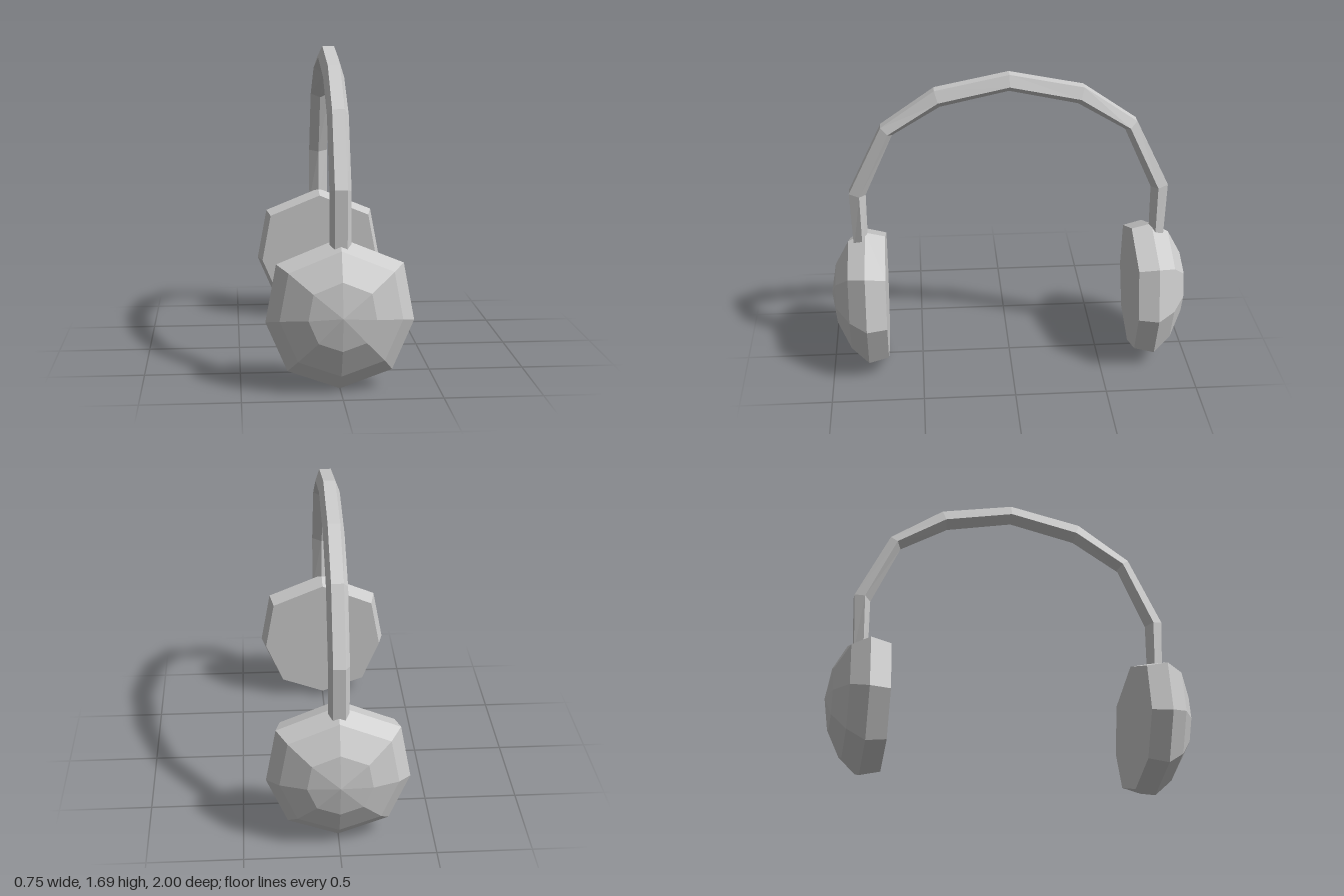
import * as THREE from 'three';

const material = new THREE.MeshStandardMaterial({ color: 0xcccccc, flatShading: true });

// Skin a list of closed rings (counter-clockwise around the travel direction) and cap both ends.
function loft(rings, startCentre, endCentre) {
  const n = rings[0].length;
  const positions = [...rings.flat(2), ...startCentre, ...endCentre];
  const start = rings.length * n, end = start + 1, last = start - n;
  const index = [];
  for (let j = 0; j < n; j++) {
    const k = (j + 1) % n;
    for (let i = 0; i < rings.length - 1; i++) {
      const a = i * n + j, b = i * n + k;
      index.push(a, b, b + n, a, b + n, a + n);
    }
    index.push(start, k, j, end, last + j, last + k);
  }
  const geometry = new THREE.BufferGeometry();
  geometry.setAttribute('position', new THREE.Float32BufferAttribute(positions, 3));
  geometry.setIndex(index);
  geometry.computeVertexNormals();
  return geometry;
}

// Eight-sided domed cup with a flat inner face
function cupGeometry() {
  const half = [[0, 0.39], [-0.32, 0.26], [-0.375, -0.035], [-0.265, -0.29], [0, -0.385]];
  const outline = [...half, ...half.slice(1, 4).reverse().map(([x, y]) => [-x, y])];
  // z, scale, centre height
  const steps = [[0.69, 0.93, 0.39], [0.8, 1, 0.39], [0.895, 0.82, 0.41], [0.97, 0.45, 0.415]];
  const rings = steps.map(([z, s, cy]) => outline.map(([x, y]) => [x * s, cy + y * s, z]));
  return loft(rings, [0, 0.39, 0.69], [0, 0.415, 1]);
}

// Arched band with a pentagonal section, point facing inward
function bandGeometry() {
  // outer z, y and inner z, y at each bend
  const half = [
    [0.862, 0.7, 0.785, 0.7],
    [0.875, 1.03, 0.785, 1.01],
    [0.69, 1.41, 0.63, 1.355],
    [0.4, 1.61, 0.37, 1.51],
  ];
  const stations = [
    ...half,
    [0, 1.69, 0, 1.59],
    ...half.slice().reverse().map(([oz, oy, iz, iy]) => [-oz, oy, -iz, iy]),
  ];
  // x and depth from the outer to the inner side
  const section = [[0.032, 0], [0.055, 0.62], [0, 1], [-0.055, 0.62], [-0.032, 0]];
  const rings = stations.map(([oz, oy, iz, iy]) =>
    section.map(([x, d]) => [x, oy + (iy - oy) * d, oz + (iz - oz) * d]));
  return loft(rings, [0, 0.7, 0.82], [0, 0.7, -0.82]);
}

export function createModel() {
  const model = new THREE.Group();
  model.name = 'earmuffs';

  const band = new THREE.Mesh(bandGeometry(), material);
  band.name = 'headBand';
  model.add(band);

  const cup = cupGeometry();
  ['frontEarCup', 'backEarCup'].forEach((name, i) => {
    const mesh = new THREE.Mesh(cup, material);
    mesh.name = name;
    mesh.rotation.y = i * Math.PI;
    model.add(mesh);
  });
  return model;
}
